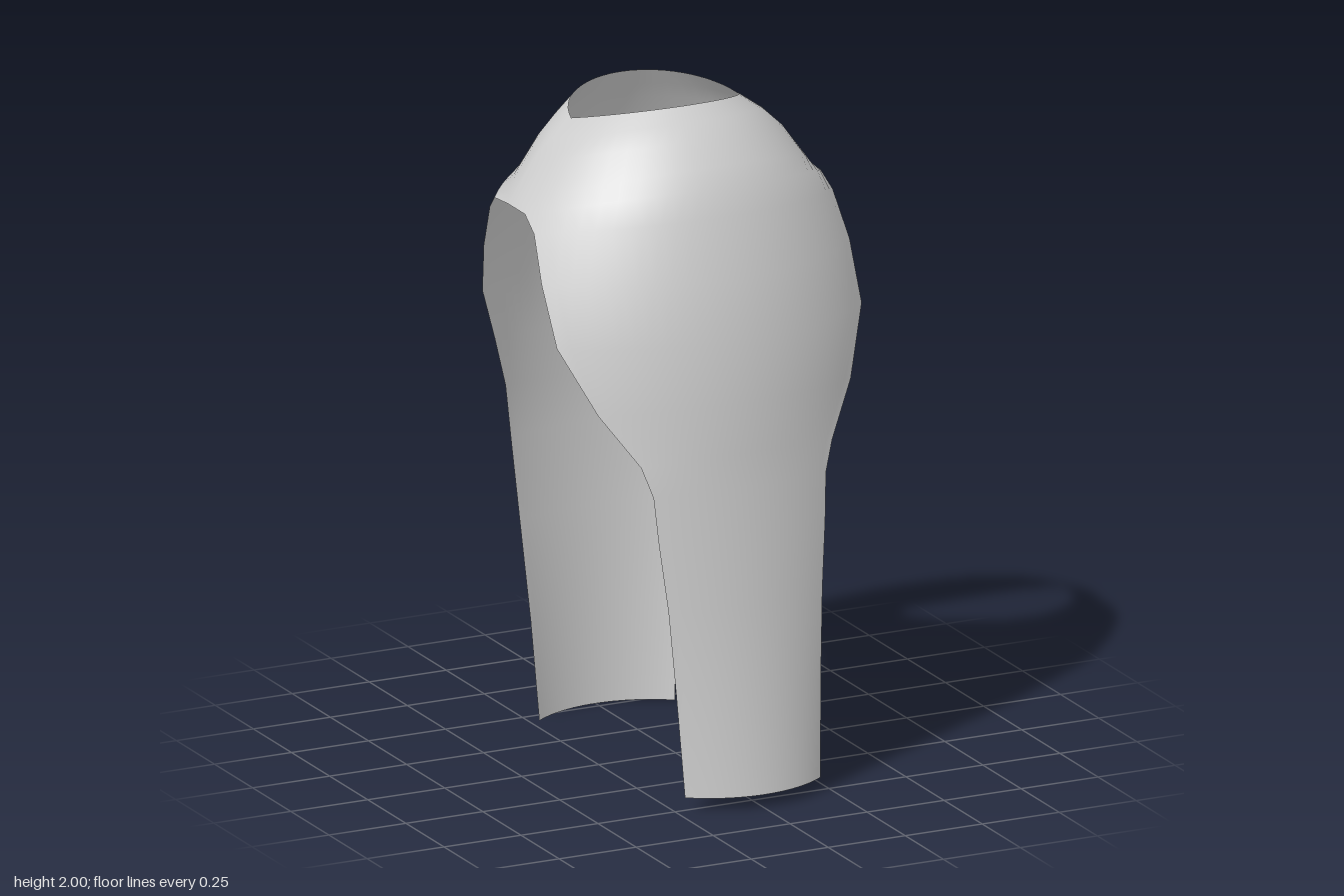
import * as THREE from 'three';
import { mergeVertices } from 'three/addons/utils/BufferGeometryUtils.js';

// Each row: side edge x, y, z, then centre y, z. Rows run from neckline to hem.
const shoulder = [[0.27, 1.94, -0.14], [0.34, 1.89, -0.135], [0.4, 1.83, -0.13], [0.48, 1.71, -0.13]];
const shoulderRows = (centres) => shoulder.map((edge, i) => [...edge, ...centres[i]]);

const frontRows = [
  ...shoulderRows([[2.0, 0.07], [1.965, 0.125], [1.925, 0.18], [1.86, 0.24]]),
  [0.48, 1.71, -0.02, 1.81, 0.28],
  [0.485, 1.67, 0.05, 1.73, 0.32],
  [0.5, 1.54, 0.13, 1.56, 0.385],
  [0.495, 1.37, 0.22, 1.38, 0.43],
  [0.41, 1.18, 0.32, 1.2, 0.455],
  [0.31, 1.03, 0.4, 1.05, 0.466],
  [0.28, 0.94, 0.42, 0.95, 0.475],
  [0.27, 0.8, 0.435, 0.8, 0.49],
  [0.25, 0.6, 0.457, 0.6, 0.51],
  [0.235, 0.35, 0.478, 0.35, 0.535],
  [0.22, 0.04, 0.505, 0.04, 0.58],
];

const backRows = [
  ...shoulderRows([[1.98, -0.36], [1.93, -0.385], [1.88, -0.41], [1.81, -0.44]]),
  [0.475, 1.7, -0.23, 1.76, -0.46],
  [0.455, 1.65, -0.3, 1.69, -0.485],
  [0.44, 1.51, -0.37, 1.54, -0.525],
  [0.415, 1.35, -0.43, 1.35, -0.56],
  [0.35, 1.18, -0.48, 1.16, -0.572],
  [0.3, 1.02, -0.51, 1.0, -0.576],
  [0.275, 0.85, -0.525, 0.85, -0.578],
  [0.255, 0.6, -0.507, 0.6, -0.56],
  [0.235, 0.3, -0.476, 0.3, -0.54],
  [0.22, 0, -0.45, 0, -0.525],
];

const COLS = 24;

// Sweeps each row as an arc from the right edge through the centre to the left edge.
function addPanel(rows, positions, indices, flip) {
  const base = positions.length / 3;
  for (const [ex, ey, ez, cy, cz] of rows) {
    const a = 2 * Math.atan(Math.abs(cz - ez) / ex);
    for (let j = 0; j <= COLS; j++) {
      const s = (j / COLS) * 2 - 1;
      const k = (Math.cos(a * s) - Math.cos(a)) / (1 - Math.cos(a));
      positions.push((ex * Math.sin(a * s)) / Math.sin(a), ey + (cy - ey) * k, ez + (cz - ez) * k);
    }
  }
  for (let i = 0; i < rows.length - 1; i++) {
    for (let j = 0; j < COLS; j++) {
      const p = base + i * (COLS + 1) + j;
      const q = p + COLS + 1;
      if (flip) indices.push(p, p + 1, q, p + 1, q + 1, q);
      else indices.push(p, q, p + 1, p + 1, q, q + 1);
    }
  }
}

export function createModel() {
  const positions = [], indices = [];
  addPanel(frontRows, positions, indices, false);
  addPanel(backRows, positions, indices, true);

  // Weld the panels along the shoulders so the shading runs across them.
  let geometry = new THREE.BufferGeometry();
  geometry.setAttribute('position', new THREE.Float32BufferAttribute(positions, 3));
  geometry.setIndex(indices);
  geometry = mergeVertices(geometry, 1e-4);
  geometry.computeVertexNormals();

  const tabard = new THREE.Mesh(
    geometry,
    new THREE.MeshStandardMaterial({ color: 0xcccccc, side: THREE.DoubleSide })
  );
  tabard.name = 'tabard';

  const group = new THREE.Group();
  group.name = 'sleevelessTabard';
  group.add(tabard);
  return group;
}
